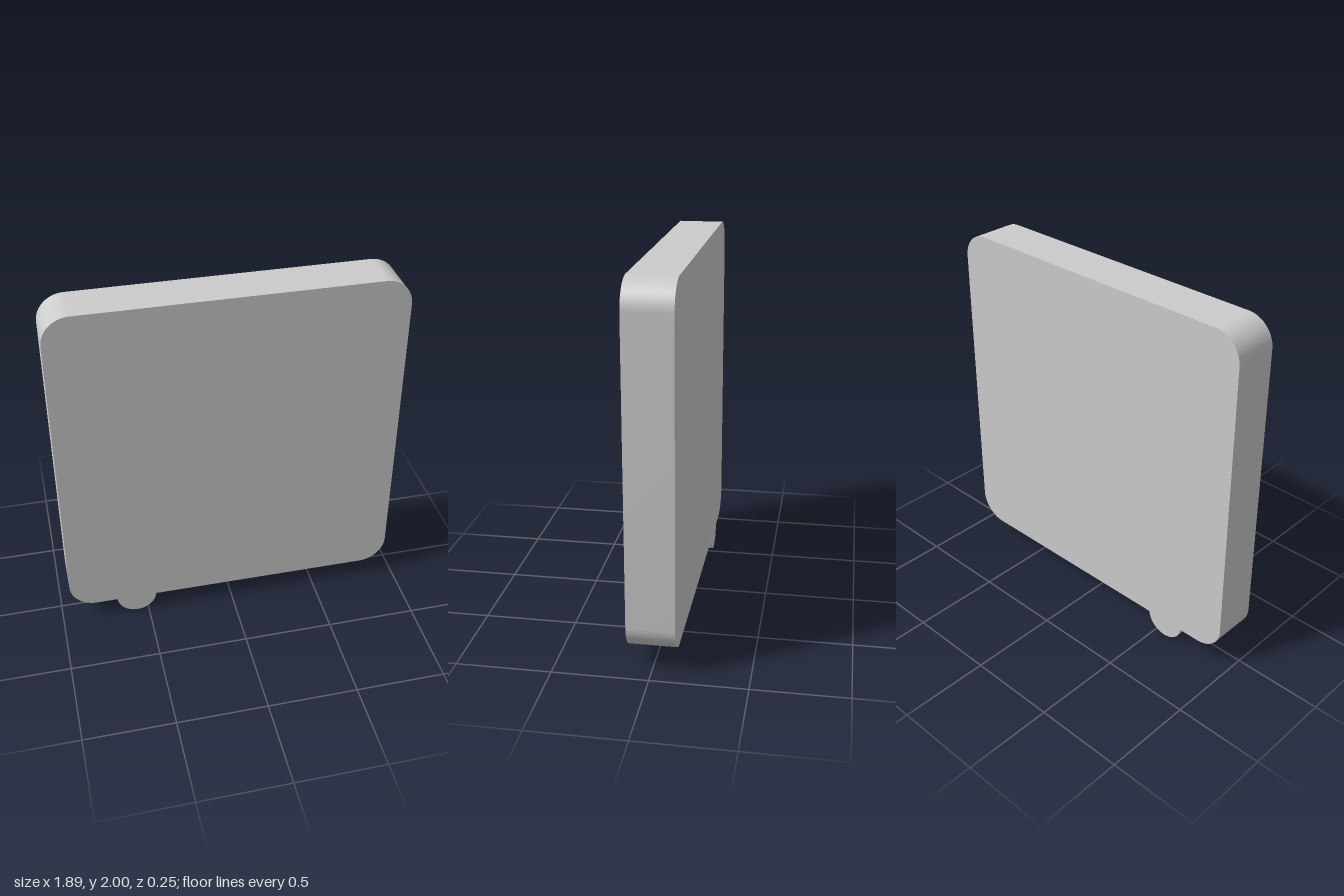
import * as THREE from 'three';
import { toCreasedNormals } from 'three/addons/utils/BufferGeometryUtils.js';

const W = 0.947, BOTTOM = 0.105, TOP = 2, R = 0.15, DEPTH = 0.25;
const TAB_X = -0.565, TAB_R = 0.114;

export function createModel() {
  const group = new THREE.Group();
  group.name = 'roundedPlate';

  // Rounded square outline with a round tab on the lower edge
  const outline = new THREE.Shape();
  const corner = (x, y, quarter) =>
    outline.absarc(x, y, R, quarter * Math.PI / 2, (quarter + 1) * Math.PI / 2, false);
  const dip = Math.asin((TAB_R - BOTTOM) / TAB_R); // tab circle rests on y = 0
  corner(-W + R, BOTTOM + R, 2);
  outline.absarc(TAB_X, TAB_R, TAB_R, Math.PI + dip, 2 * Math.PI - dip, false);
  corner(W - R, BOTTOM + R, 3);
  corner(W - R, TOP - R, 0);
  corner(-W + R, TOP - R, 1);
  outline.closePath();

  // Flat faces, smoothly shaded round corners
  const geometry = new THREE.ExtrudeGeometry(outline, {
    depth: DEPTH, bevelEnabled: false, curveSegments: 24,
  });
  geometry.translate(0, 0, -DEPTH / 2);

  const plate = new THREE.Mesh(
    toCreasedNormals(geometry, 0.5),
    new THREE.MeshStandardMaterial({ color: 0xcccccc }),
  );
  plate.name = 'plateWithTab';
  group.add(plate);
  return group;
}
